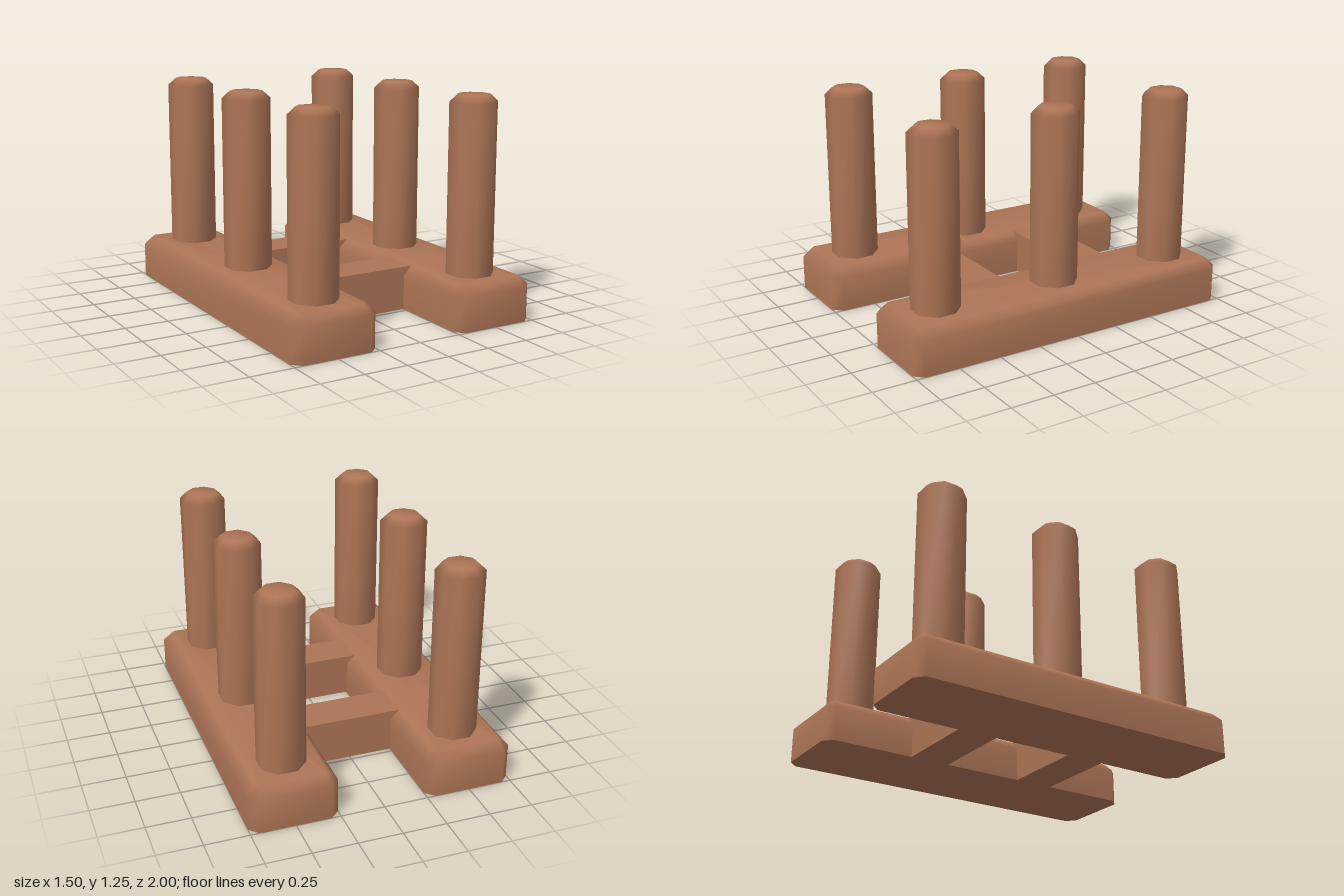
import * as THREE from 'three';

// Rectangle in plan with its four corners cut off, as eight points
function cutRect(w, d, cut, y) {
  const x = w / 2, z = d / 2;
  return [
    [x, y, z - cut], [x, y, -z + cut], [x - cut, y, -z], [-x + cut, y, -z],
    [-x, y, -z + cut], [-x, y, z - cut], [-x + cut, y, z], [x - cut, y, z],
  ];
}

// Upright block with cut corners and a bevelled, softly shaded top
function bevelledBlock(w, d, h, cut, bevel, withBottom) {
  const topCut = cut - bevel * (2 - Math.SQRT2);
  const loops = [
    cutRect(w, d, cut, 0),
    cutRect(w, d, cut, h - bevel),
    cutRect(w - 2 * bevel, d - 2 * bevel, topCut, h),
  ];
  const points = [...loops.flat(), [0, h, 0]];
  const index = [];
  for (let i = 0; i < 8; i++) {
    const j = (i + 1) % 8;
    for (let k = 0; k < 2; k++) {
      const a = k * 8 + i, b = k * 8 + j;
      index.push(a, b, b + 8, a, b + 8, a + 8);
    }
    index.push(16 + i, 16 + j, 24);
  }
  // Underside has its own points so that its edge stays sharp
  if (withBottom) {
    points.push(...loops[0]);
    for (let i = 1; i < 7; i++) index.push(25, 25 + i + 1, 25 + i);
  }
  const geometry = new THREE.BufferGeometry();
  geometry.setAttribute('position', new THREE.Float32BufferAttribute(points.flat(), 3));
  geometry.setIndex(index);
  geometry.computeVertexNormals();
  return geometry;
}

export function createModel() {
  const model = new THREE.Group();
  model.name = 'pegRack';
  const wood = new THREE.MeshStandardMaterial({ color: 0xac7455 });
  wood.name = 'brown wood';

  function add(name, geometry, x, y, z) {
    const mesh = new THREE.Mesh(geometry, wood);
    mesh.name = name;
    mesh.position.set(x, y, z);
    model.add(mesh);
  }

  const rail = bevelledBlock(0.5, 2, 0.25, 0.05, 0.05, true);
  const peg = bevelledBlock(0.25, 0.25, 1, 0.0732, 0.04, false);
  const bar = new THREE.BoxGeometry(0.6, 0.25, 0.235);

  // Two long rails, each carrying three octagonal pegs
  for (const [side, x] of [['left', 0.5], ['right', -0.5]]) {
    add(side + 'Rail', rail, x, 0, 0);
    for (const [place, z] of [['Front', 0.75], ['Middle', 0], ['Back', -0.75]]) {
      add(side + place + 'Peg', peg, x, 0.25, z);
    }
  }

  // Crossbars joining the rails
  add('frontCrossbar', bar, 0, 0.125, 0.355);
  add('backCrossbar', bar, 0, 0.125, -0.355);

  return model;
}
